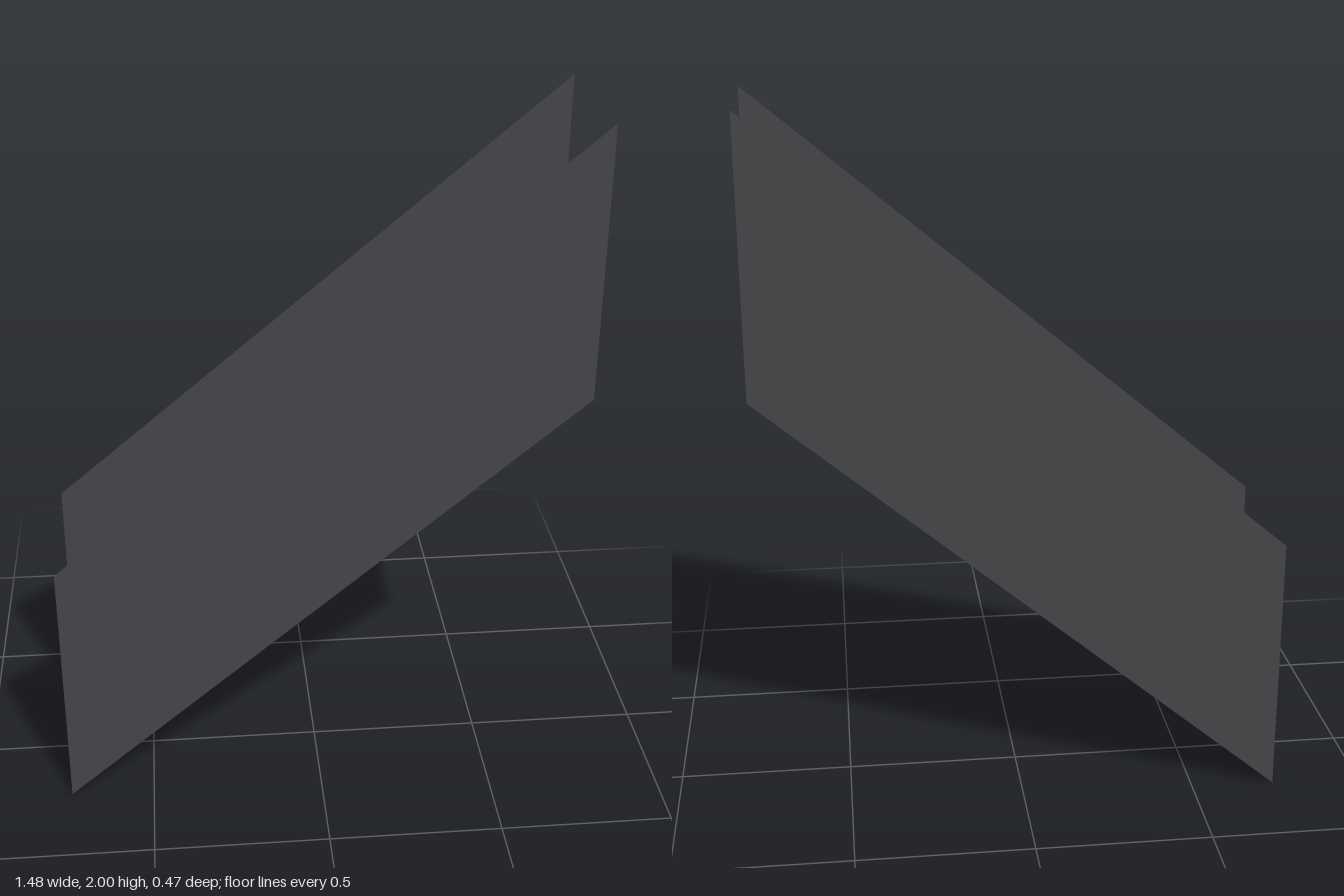
import * as THREE from 'three';

export function createModel() {
  const model = new THREE.Group();
  model.name = 'staircase';
  const darkGrey = new THREE.MeshStandardMaterial({ color: 0x464549, side: THREE.DoubleSide });
  darkGrey.name = 'dark grey';

  const steps = 14, x0 = -0.742, x1 = 0.736, rise = 1.238, halfDepth = 0.234, wallHeight = 0.762;
  const stepRun = (x1 - x0) / steps, stepRise = rise / steps;

  function add(name, geometry, x, y, z, parent = model) {
    const mesh = new THREE.Mesh(geometry, darkGrey);
    mesh.name = name;
    mesh.position.set(x, y, z);
    parent.add(mesh);
    return mesh;
  }

  // Thin sloping side walls
  const outline = new THREE.Shape([
    new THREE.Vector2(x0, 0), new THREE.Vector2(x1, rise),
    new THREE.Vector2(x1, rise + wallHeight), new THREE.Vector2(x0, wallHeight),
  ]);
  const wall = new THREE.ShapeGeometry(outline);
  add('frontWall', wall, 0, 0, halfDepth);
  add('backWall', wall, 0, 0, -halfDepth).rotation.set(0, 0, 0);

  // Open folded flight: one riser and one tread per step
  const flight = new THREE.Group();
  flight.name = 'flight';
  model.add(flight);
  const riser = new THREE.PlaneGeometry(halfDepth * 2, stepRise).rotateY(-Math.PI / 2);
  const tread = new THREE.PlaneGeometry(stepRun, halfDepth * 2).rotateX(-Math.PI / 2);
  for (let i = 0; i < steps; i++) {
    const x = x0 + i * stepRun;
    add('riser', riser, x, (i + 0.5) * stepRise, 0, flight);
    add('tread', tread, x + stepRun / 2, (i + 1) * stepRise, 0, flight);
  }

  // Handrail parallel to the slope, inside the back wall
  const start = new THREE.Vector2(-0.713, 0.294), end = new THREE.Vector2(0.736, 1.512);
  const rail = add('handrail', new THREE.BoxGeometry(start.distanceTo(end), 0.014, 0.013),
    (start.x + end.x) / 2, (start.y + end.y) / 2, -0.2);
  rail.rotation.z = Math.atan2(end.y - start.y, end.x - start.x);

  return model;
}
